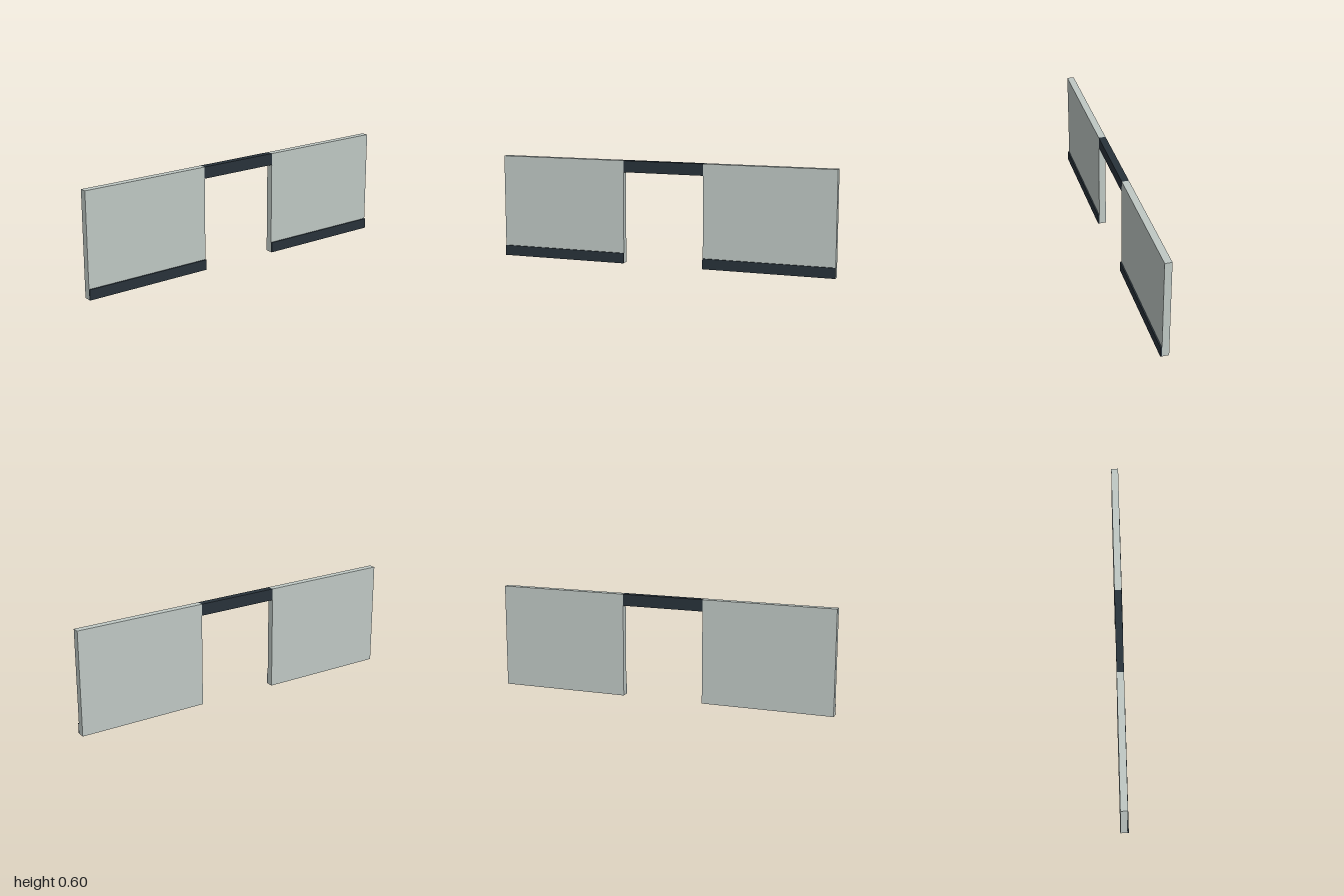
import * as THREE from 'three';

export function createModel() {
  const model = new THREE.Group();
  const pale = new THREE.MeshStandardMaterial({ color: 0xbfc8c4 });
  const dark = new THREE.MeshStandardMaterial({ color: 0x28323a });

  // Box given by its minimum and maximum corners
  function addBox(name, material, min, max) {
    const size = max.map((v, i) => v - min[i]);
    const mesh = new THREE.Mesh(new THREE.BoxGeometry(...size), material);
    mesh.position.set(...max.map((v, i) => (v + min[i]) / 2));
    mesh.name = name;
    model.add(mesh);
  }

  const inner = 0.24, height = 0.6, back = -0.024, face = 0.016, front = 0.024;

  // Side panels, each with a dark strip along the lower front edge
  for (const [side, x0, x1] of [['left', inner, 1], ['right', -1, -inner]]) {
    addBox(side + 'Panel', pale, [x0, 0, back], [x1, height, face]);
    addBox(side + 'BottomStrip', dark, [x0, 0, face], [x1, 0.06, front]);
  }

  // Bar bridging the gap at the top
  addBox('topBar', dark, [-inner, 0.533, back], [inner, height, face]);

  return model;
}
